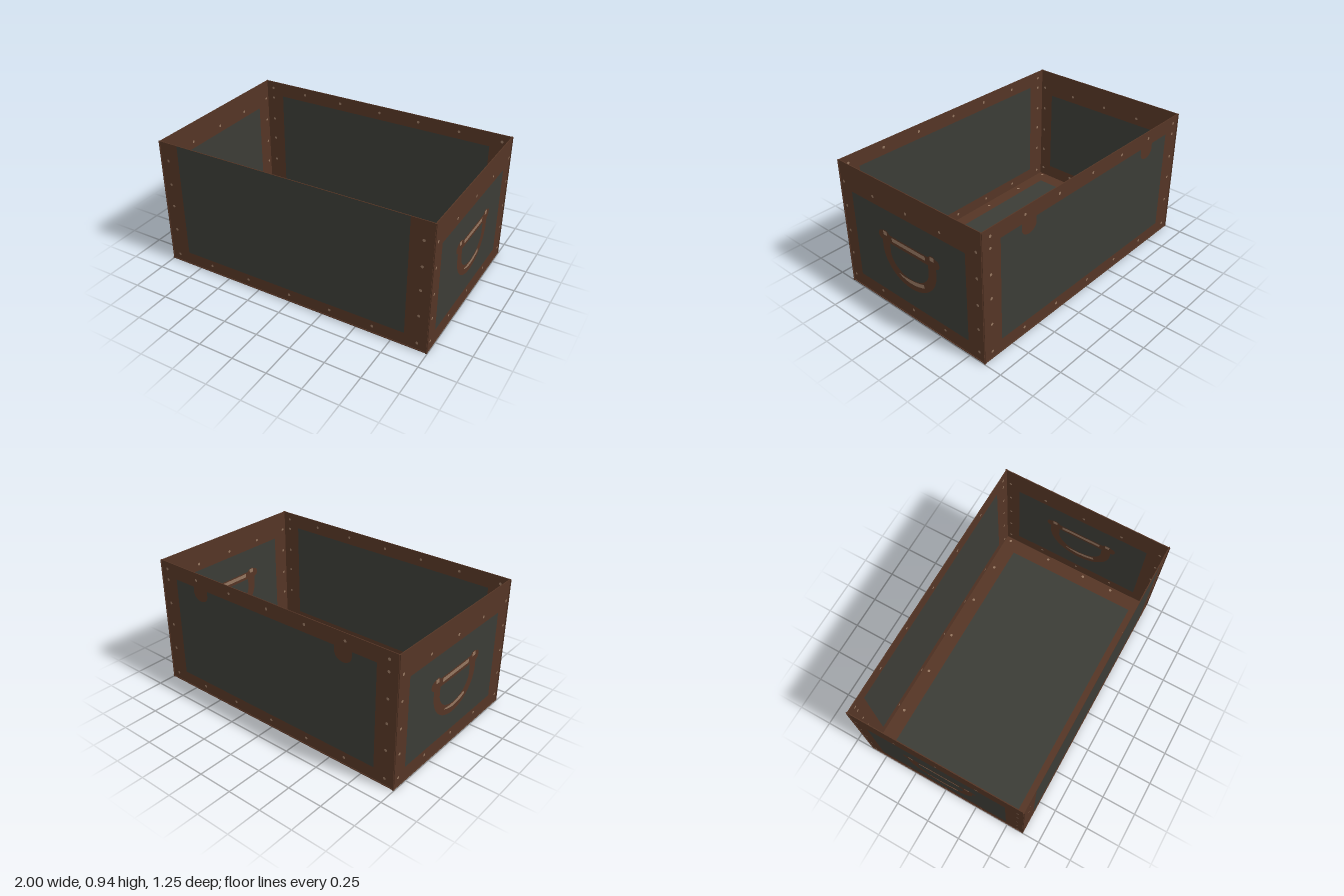
import * as THREE from 'three';

const W = 2, H = 0.94, D = 1.25, T = 0.006;
const leather = new THREE.MeshStandardMaterial({ name: 'brown leather', color: 0x543525 });
const slate = new THREE.MeshStandardMaterial({ name: 'dark slate', color: 0x3b3c36 });
const brass = new THREE.MeshStandardMaterial({ name: 'worn brass', color: 0x94755f });

function face(group, name, shape, material, z) {
  const mesh = new THREE.Mesh(new THREE.ShapeGeometry(shape, 16), material);
  mesh.name = name;
  mesh.position.z = z;
  group.add(mesh);
}

function rect(x0, y0, x1, y1) {
  return new THREE.Shape([[x0, y0], [x1, y0], [x1, y1], [x0, y1]].map(p => new THREE.Vector2(...p)));
}

function disc(x, y, r) {
  return new THREE.Shape().absarc(x, y, r, 0, Math.PI * 2);
}

// Half-round loop hanging from a straight top edge
function loop(r, top, mid, bottom) {
  const s = new THREE.Shape();
  s.moveTo(-r, top);
  s.lineTo(-r, mid);
  s.absellipse(0, mid, r, mid - bottom, Math.PI, Math.PI * 2, false, 0);
  s.lineTo(r, top);
  return s;
}

// Flat carrying handle with worn highlights
function addHandle(group) {
  const h = new THREE.Group();
  h.name = 'handle';
  const ring = loop(0.242, 0.55, 0.47, 0.245);
  ring.holes.push(loop(0.172, 0.512, 0.45, 0.318));
  face(h, 'handleLoop', ring, leather, 0.004);
  face(h, 'handleBar', rect(-0.24, 0.512, 0.24, 0.572), leather, 0.004);
  for (const s of [-1, 1]) {
    face(h, 'handleEnd', disc(s * 0.24, 0.548, 0.034), leather, 0.004);
    face(h, 'handleKnob', disc(s * 0.21, 0.553, 0.04), leather, 0.004);
    face(h, 'knobShine', rect(s * 0.21 - 0.017, 0.557, s * 0.21 + 0.017, 0.587), brass, 0.006);
  }
  face(h, 'barShine', rect(-0.15, 0.535, 0.15, 0.563), brass, 0.006);
  const shine = new THREE.Shape();
  shine.moveTo(-0.11, 0.315);
  shine.quadraticCurveTo(0, 0.26, 0.13, 0.315);
  shine.lineTo(0.12, 0.338);
  shine.quadraticCurveTo(0, 0.3, -0.1, 0.318);
  face(h, 'loopShine', shine, brass, 0.006);
  group.add(h);
}

// Slate inset and rivets on one face; the surrounding leather shows as a border
function skin(name, inset, rivets) {
  const g = new THREE.Group();
  g.name = name;
  face(g, 'slateInset', rect(...inset), slate, 0.002);
  for (const [x, y] of rivets) face(g, 'rivet', disc(x, y, 0.01), brass, 0.004);
  return g;
}

function rivetRows(xs, ys, edgeX, rows) {
  const list = [];
  for (const y of rows) for (const x of xs) list.push([x, y]);
  for (const y of ys) list.push([-edgeX, y], [edgeX, y]);
  return list;
}

export function createModel() {
  const model = new THREE.Group();
  model.name = 'openTrunk';

  const board = (name, w, h, d, x, y, z) => {
    const m = new THREE.Mesh(new THREE.BoxGeometry(w, h, d), leather);
    m.name = name;
    m.position.set(x, y, z);
    model.add(m);
  };
  const place = (g, x, y, z, rx, ry) => {
    g.position.set(x, y, z);
    g.rotation.set(rx, ry, 0);
    model.add(g);
    return g;
  };

  // Thin leather boards, set in so the face plates stay within the outline
  const e = 0.005;
  const zo = D / 2 - e, xo = W / 2 - e;
  for (const s of [-1, 1]) {
    board(s > 0 ? 'frontWall' : 'backWall', W, H, T, 0, H / 2, s * (zo - T / 2));
    board('sideWall', T, H, D, s * (xo - T / 2), H / 2, 0);
  }
  board('floor', W, T, D, 0, e + T / 2, 0);

  // Long walls
  const longX = [-0.93, -0.64, -0.33, 0, 0.31, 0.62, 0.93];
  const longY = [0.81, 0.63, 0.46, 0.27];
  const framed = [-0.845, 0.1, 0.845, 0.835];
  const full = rivetRows(longX, longY, 0.93, [0.06, 0.89]);
  place(skin('frontFace', [-0.845, 0.1, 0.84, H], rivetRows(longX, longY, 0.93, [0.06])), 0, 0, zo, 0, 0);
  place(skin('frontInside', framed, full), 0, 0, zo - T, 0, Math.PI);
  place(skin('backInside', framed, full), 0, 0, -zo + T, 0, 0);
  const back = place(skin('backFace', framed, full), 0, 0, -zo, 0, Math.PI);

  // Hinge tabs
  for (const s of [-1, 1]) {
    const tab = loop(0.065, 0.84, 0.8, 0.745);
    face(back, 'hingeTab', tab, leather, 0.004);
    back.children[back.children.length - 1].position.x = s * 0.605;
  }

  // Short walls
  const endInset = [-0.51, 0.11, 0.49, 0.75];
  const endRivets = rivetRows([-0.58, -0.3, 0, 0.29, 0.58], [0.62, 0.43, 0.25], 0.58, [0.075, 0.8]);
  for (const s of [-1, 1]) {
    addHandle(place(skin('endFace', endInset, endRivets), s * xo, 0, 0, 0, s * Math.PI / 2));
    const inside = place(skin('endInside', endInset, endRivets), s * (xo - T), 0, 0, 0, -s * Math.PI / 2);
    if (s > 0) addHandle(inside);
  }

  // Floor, upper and lower faces
  const floorRivets = rivetRows([-0.96, -0.65, -0.3, 0.03, 0.37, 0.69, 0.96], [-0.32, -0.08, 0.23], 0.96, [-0.57, 0.57]);
  place(skin('floorTop', [-0.88, -0.52, 0.88, 0.5], floorRivets), 0, e + T, 0, -Math.PI / 2, 0);
  place(skin('floorUnderside', [-0.88, -0.5, 0.88, 0.52], floorRivets), 0, e, 0, Math.PI / 2, 0);

  return model;
}
